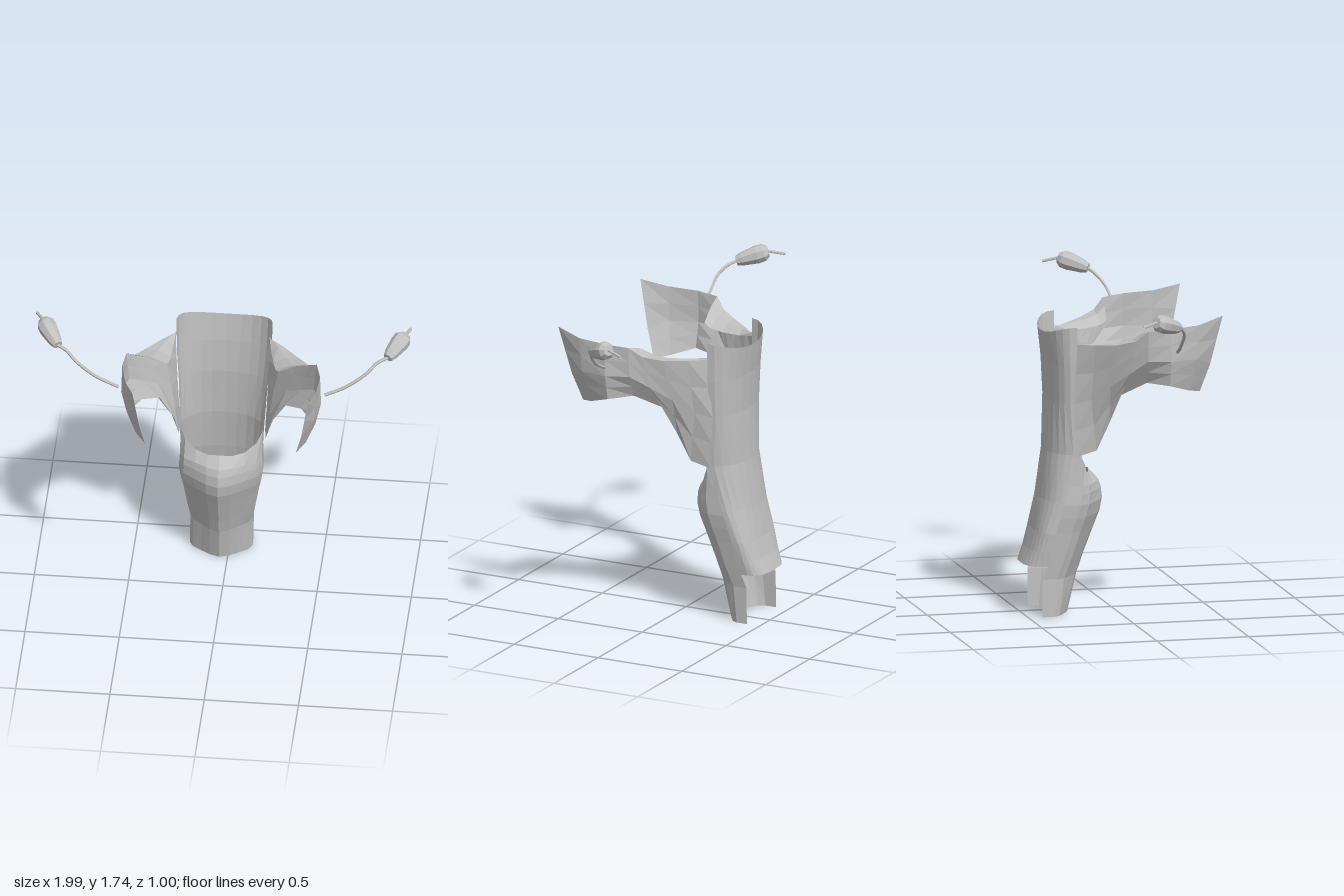
import * as THREE from 'three';

const grey = new THREE.MeshStandardMaterial({ color: 0xc0c0c0, flatShading: true, side: THREE.DoubleSide });
grey.name = 'grey';

// Open sheet through rows of [x, y, z] points
function sheet(name, rows) {
  const n = rows[0].length, index = [];
  for (let r = 0; r < rows.length - 1; r++) {
    for (let c = 0; c < n - 1; c++) {
      const a = r * n + c, b = a + 1, d = a + n, e = d + 1;
      index.push(a, b, e, a, e, d);
    }
  }
  const g = new THREE.BufferGeometry();
  g.setAttribute('position', new THREE.Float32BufferAttribute(rows.flat(2), 3));
  g.setIndex(index);
  g.computeVertexNormals();
  const mesh = new THREE.Mesh(g, grey);
  mesh.name = name;
  return mesh;
}

const centre = y => -0.045 + 0.02 * y; // the body leans slightly sideways
const v = p => new THREE.Vector3(...p);

// Back wall: half arch, [height, half width, back z, side z]
function backWall() {
  const sections = [
    [0.27, 0.165, -0.505, -0.38], [0.35, 0.18, -0.472, -0.37], [0.45, 0.195, -0.442, -0.355],
    [0.62, 0.212, -0.41, -0.30], [0.87, 0.223, -0.377, -0.22], [1.15, 0.235, -0.362, -0.25],
    [1.35, 0.25, -0.37, -0.25], [1.51, 0.255, -0.39, -0.25],
  ];
  const rows = sections.map(([y, w, zb, zs], r) => {
    const k = r < 3 ? 0.65 : 0.9, row = [];
    for (let i = -6; i <= 6; i++) {
      const a = (i / 6) * Math.PI / 2, s = Math.abs(Math.sin(a));
      const lift = r === sections.length - 1 ? 0.05 * s * s : 0;
      row.push([
        centre(y) + Math.sign(i) * w * s ** k,
        y + lift,
        zs + (zb - zs) * Math.max(0, Math.cos(a)) ** k,
      ]);
    }
    return row;
  });
  return sheet('backWall', rows);
}

// Front shell: keeled and open at the back, [height, half width, keel z, edge z]
function frontShell() {
  const fx = [0, 0.3, 0.6, 0.88, 1, 1], fz = [0, 0.1, 0.28, 0.45, 0.65, 1];
  const rim = [0, -0.01, 0, 0.05, 0.1, 0.1];
  const sections = [
    [0, 0.165, -0.25, -0.425], [0.2, 0.165, -0.2, -0.425], [0.3, 0.18, -0.165, -0.39],
    [0.45, 0.2, -0.105, -0.36], [0.53, 0.214, -0.072, -0.34], [0.6, 0.222, -0.058, -0.32],
    [0.66, 0.22, -0.065, -0.30], [0.7, 0.218, -0.08, -0.29], [0.76, 0.215, -0.135, -0.27],
  ];
  const rows = sections.map(([y, w, zf, ze], r) => {
    const row = [];
    for (let i = -5; i <= 5; i++) {
      const j = Math.abs(i);
      row.push([
        centre(y) + Math.sign(i) * w * fx[j],
        y + (r === sections.length - 1 ? rim[j] : 0),
        zf + (ze - zf) * fz[j],
      ]);
    }
    return row;
  });
  return sheet('frontShell', rows);
}

// Side wing sweeping forward, plus its inward shelf; s is +1 left, -1 right
function wing(s) {
  const place = ([x, y, z]) => [s * x + 0.08 * (z + 0.25) - 0.025, y, z];
  // bottom, middle and top of each station, from back to front
  const stations = [
    [[0.225, 0.86, -0.25], [0.24, 1.15, -0.27], [0.25, 1.47, -0.25]],
    [[0.23, 0.89, -0.14], [0.27, 1.17, -0.18], [0.33, 1.475, -0.17]],
    [[0.255, 1.04, -0.075], [0.34, 1.25, -0.09], [0.41, 1.485, -0.07]],
    [[0.33, 1.2, -0.03], [0.42, 1.33, 0], [0.465, 1.51, 0.02]],
    [[0.42, 1.275, 0.09], [0.49, 1.4, 0.08], [0.505, 1.565, 0.08]],
    [[0.5, 1.265, 0.2], [0.53, 1.4, 0.2], [0.525, 1.575, 0.2]],
    [[0.45, 1.225, 0.32], [0.495, 1.4, 0.35], [0.505, 1.585, 0.36]],
    [[0.4, 1.21, 0.39], [0.43, 1.36, 0.44], [0.465, 1.62, 0.5]],
  ];
  const rows = stations.map(st => {
    const [b, m, t] = st.map(v);
    return [b, b.clone().lerp(m, 0.5), m, m.clone().lerp(t, 0.5), t].map(p => place(p.toArray()));
  });
  const inner = [
    [0.245, 1.46, -0.25], [0.258, 1.45, -0.17], [0.272, 1.45, -0.07], [0.285, 1.46, 0.01], [0.3, 1.48, 0.05],
  ];
  const shelf = inner.map((p, i) => {
    const top = v(stations[i][2]), end = v(p);
    const mid = top.clone().lerp(end, 0.5);
    mid.y += 0.015;
    return [top, mid, end].map(q => place(q.toArray()));
  });
  const g = new THREE.Group();
  g.name = s > 0 ? 'leftWing' : 'rightWing';
  g.add(sheet('wingSheet', rows), sheet('wingShelf', shelf));
  return g;
}

// Thin wire along a smooth path
function wire(name, points, radius) {
  const curve = new THREE.CatmullRomCurve3(points.map(v));
  const mesh = new THREE.Mesh(new THREE.TubeGeometry(curve, 16, radius, 6), grey);
  mesh.name = name;
  return mesh;
}

// Wire carrying a faceted bulb with a short end pin
function feeler(name, path, bulbEnd, pinEnd) {
  const g = new THREE.Group();
  g.name = name;
  const start = v(path[path.length - 1]), end = v(bulbEnd);
  const dir = end.clone().sub(start), len = dir.length();
  const profile = [[0, 0], [0.026, 0], [0.037, 0.18], [0.05, 0.65], [0.048, 0.86], [0.03, 1], [0, 1]];
  const bulb = new THREE.Mesh(
    new THREE.LatheGeometry(profile.map(([r, t]) => new THREE.Vector2(r, t * len)), 8), grey);
  bulb.name = 'bulb';
  bulb.position.copy(start);
  bulb.quaternion.setFromUnitVectors(new THREE.Vector3(0, 1, 0), dir.normalize());
  g.add(wire('stem', path, 0.009), bulb, wire('pin', [bulbEnd, pinEnd], 0.008));
  return g;
}

export function createModel() {
  const model = new THREE.Group();
  model.name = 'model';
  model.add(backWall(), frontShell(), wing(1), wing(-1));
  model.add(feeler('leftFeeler',
    [[0.56, 1.455, 0.195], [0.67, 1.505, 0.18], [0.78, 1.585, 0.155], [0.83, 1.63, 0.12], [0.885, 1.65, 0.095]],
    [0.965, 1.7, -0.045], [0.985, 1.68, -0.13]));
  model.add(feeler('rightFeeler',
    [[-0.53, 1.455, 0.23], [-0.66, 1.51, 0.215], [-0.76, 1.595, 0.21], [-0.81, 1.635, 0.18], [-0.86, 1.65, 0.155]],
    [-0.95, 1.7, 0.01], [-0.992, 1.685, -0.07]));
  return model;
}
